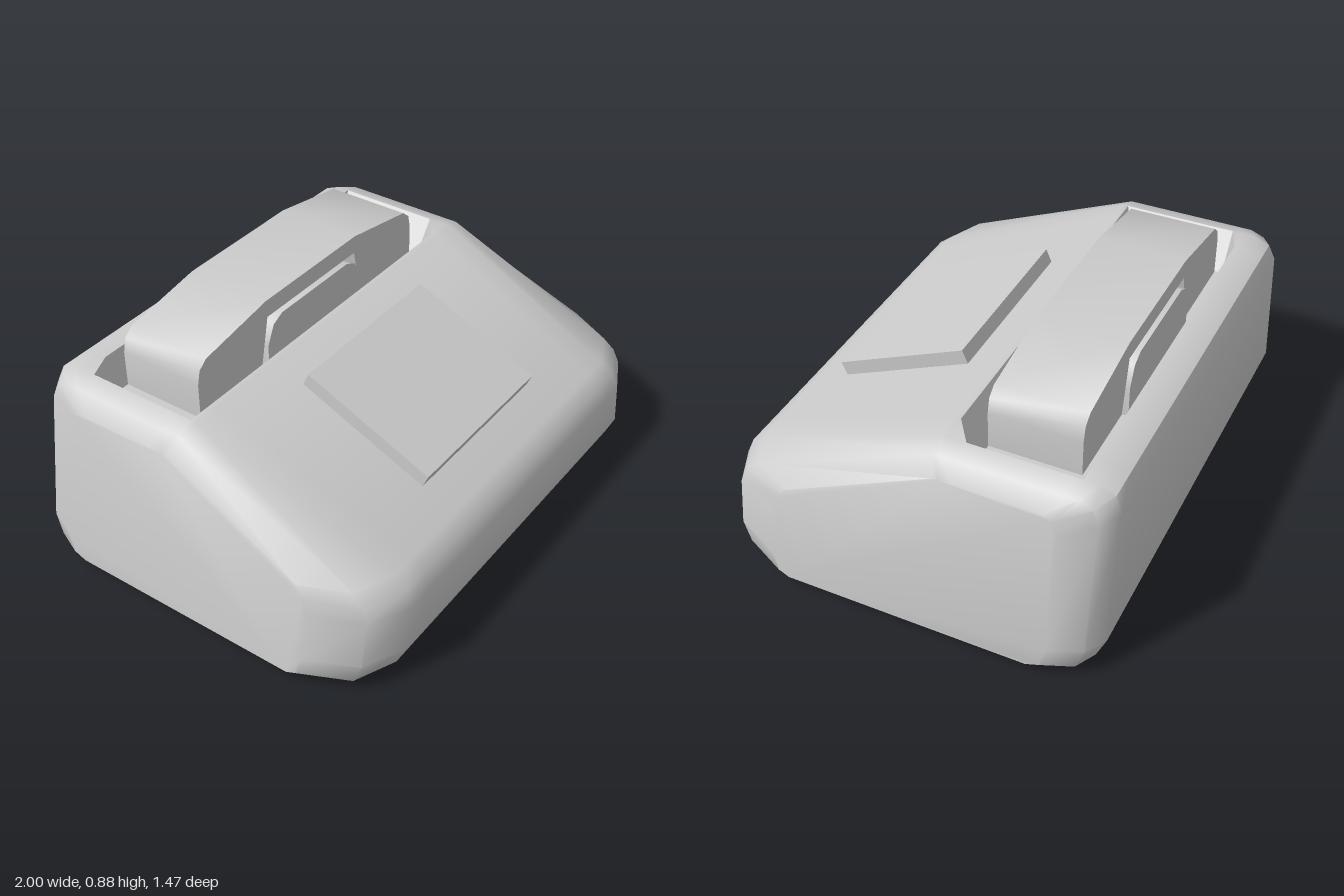
import * as THREE from 'three';
import { mergeVertices, toCreasedNormals } from 'three/addons/utils/BufferGeometryUtils.js';

const material = new THREE.MeshStandardMaterial({ color: 0xcccccc });

function addPart(group, name, geometry) {
  const mesh = new THREE.Mesh(geometry, material);
  mesh.name = name;
  group.add(mesh);
  return mesh;
}

// Wedge body: side profiles lofted from right to left, with a handset trough.
// Each row: z, y in the middle, then z, y at the rounded end faces.
const PROFILE = [
  [0.61, 0, 0.42, 0.03], [0.70, 0.04, 0.46, 0.05], [0.735, 0.12, 0.48, 0.12],
  [0.735, 0.29, 0.48, 0.31], [0.71, 0.35, 0.46, 0.36], [0.66, 0.39, 0.43, 0.4],
  [-0.10, 0.715, -0.13, 0.64],
  [-0.12, 0.715, -0.15, 0.64], [-0.19, 0.715, -0.2, 0.64],
  [-0.56, 0.715, -0.47, 0.64], [-0.60, 0.715, -0.49, 0.64],
  [-0.65, 0.715, -0.52, 0.64], [-0.71, 0.69, -0.55, 0.625], [-0.735, 0.63, -0.57, 0.58],
  [-0.735, 0.12, -0.57, 0.12], [-0.70, 0.04, -0.55, 0.05], [-0.61, 0, -0.5, 0.03],
];
const TROUGH_FLOOR = 0.58;

function bodyGeometry() {
  // x, blend toward the end profile, trough depth, x factor at the front corners
  const half = [[1, 1, 0, 1], [0.95, 0.28, 0, 0.96], [0.87, 0, 0, 0.87], [0.76, 0, 1, 0.85]];
  const stations = [
    ...half.map(([x, ...rest]) => [-x, ...rest]),
    ...half.slice().reverse(),
  ];
  const n = PROFILE.length;
  const positions = [], index = [];
  for (const [x, blend, depth, frontFactor] of stations) {
    PROFILE.forEach(([z0, y0, z1, y1], j) => {
      let y = THREE.MathUtils.lerp(y0, y1, blend);
      const z = THREE.MathUtils.lerp(z0, z1, blend);
      if (j === 8 || j === 9) y = THREE.MathUtils.lerp(y, TROUGH_FLOOR, depth);
      // The sides lean inward toward the top
      const taper = 1 - 0.09 * THREE.MathUtils.clamp((Math.max(y, depth && y0) - 0.08) / 0.56, 0, 1.1);
      positions.push(x * taper * (j < 6 ? frontFactor : 1), y, z);
    });
  }
  for (let i = 0; i < stations.length - 1; i++) {
    for (let j = 0; j < n; j++) {
      const k = (j + 1) % n;
      const a = i * n + j, b = a + n, d = i * n + k, c = d + n;
      index.push(a, b, c, a, c, d);
    }
  }
  // End faces
  const outline = PROFILE.map(([, , z, y]) => new THREE.Vector2(z, y));
  const last = (stations.length - 1) * n;
  for (const [a, b, c] of THREE.ShapeUtils.triangulateShape(outline, [])) {
    index.push(a, b, c, last + a, last + c, last + b);
  }
  const geometry = new THREE.BufferGeometry();
  geometry.setAttribute('position', new THREE.Float32BufferAttribute(positions, 3));
  geometry.setIndex(index);
  return toCreasedNormals(geometry, 0.75);
}

// Mirrored half outline in x, y, extruded from back to front
function symmetricExtrusion(halfOutline, back, front) {
  const points = [
    ...halfOutline,
    ...halfOutline.slice().reverse().map(([x, y]) => [-x, y]),
  ].map(([x, y]) => new THREE.Vector2(x, y));
  const geometry = new THREE.ExtrudeGeometry(new THREE.Shape(points), {
    depth: front - back, bevelEnabled: false,
  });
  geometry.translate(0, 0, back);
  geometry.deleteAttribute('normal');
  geometry.deleteAttribute('uv');
  return toCreasedNormals(mergeVertices(geometry), 0.75);
}

export function createModel() {
  const group = new THREE.Group();
  group.name = 'deskTelephone';

  addPart(group, 'body', bodyGeometry());

  // Raised rest between the two handset ends
  addPart(group, 'cradle', symmetricExtrusion(
    [[0.2, 0.8], [0.25, 0.775], [0.285, 0.7], [0.285, TROUGH_FLOOR - 0.02]], -0.555, -0.185));

  // Handset: thin grip with a deep block at each end
  addPart(group, 'handset', symmetricExtrusion(
    [[0.27, 0.88], [0.6, 0.825], [0.637, 0.795], [0.65, 0.74], [0.65, 0.6],
      [0.31, 0.6], [0.265, 0.81]], -0.54, -0.2));

  // Keypad plate lying on the sloping front
  const plate = addPart(group, 'keypadPlate', new THREE.BoxGeometry(0.71, 0.055, 0.55));
  plate.position.set(0, 0.58, 0.287);
  plate.rotation.x = 0.408;

  return group;
}
